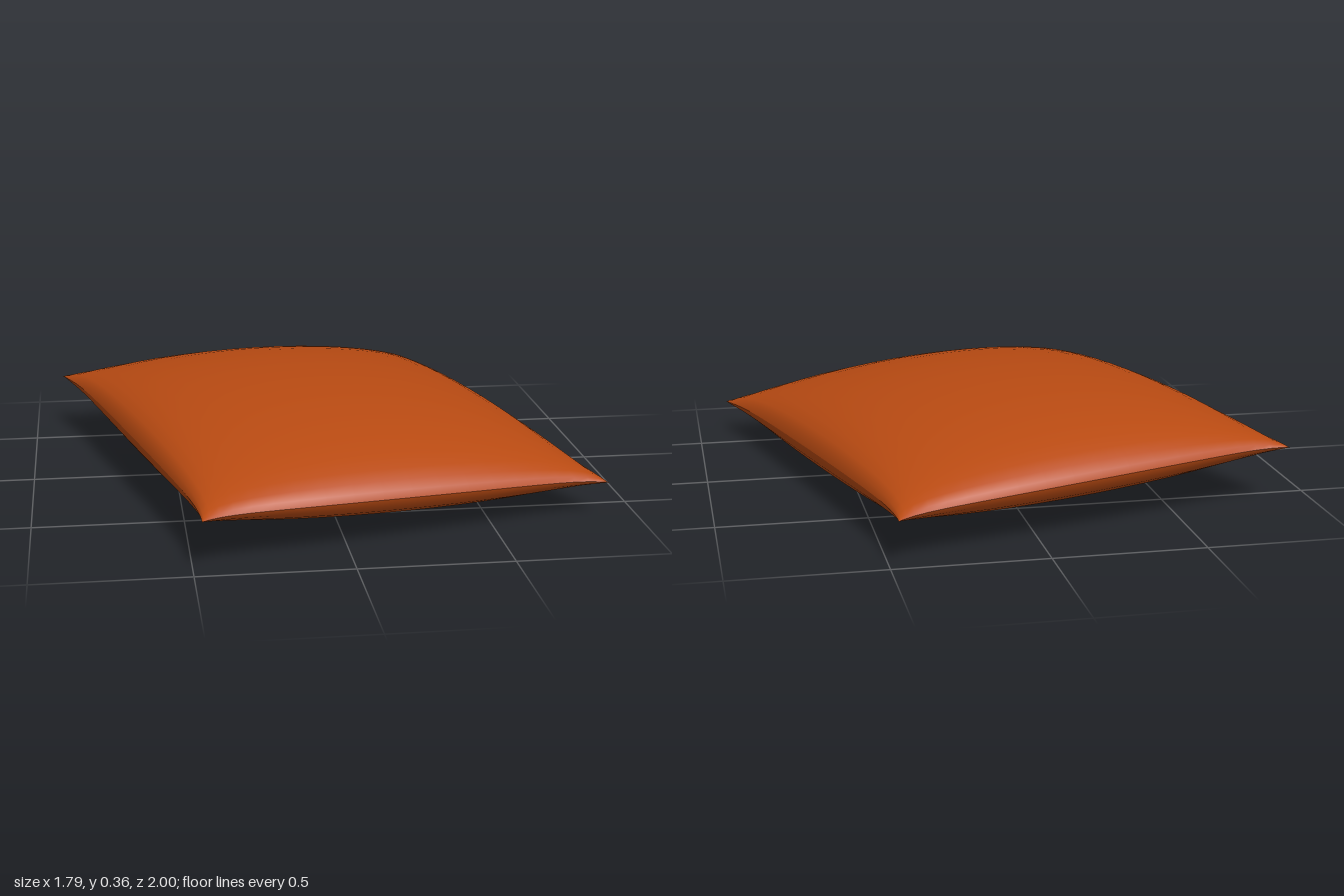
import * as THREE from 'three';

const HALF_W = 0.707, HALF_L = 0.848; // half width and length, corner to corner
const MID = 0.18, PUFF = 0.177;       // seam height at the middle, half thickness
const TURN = 0.253;                   // turn of the cushion about y

// Place a point of the unit square (s, t) on the upper (+1) or lower (-1) panel.
function cushionPoint(s, t, side) {
  // edges pull inwards between the flared corners
  const insetW = 0.03 * (1 - Math.abs(t) ** 7);
  const insetL = (0.013 + 0.028 * t0(s)) * (1 - Math.abs(s) ** 9);
  const u = s * (HALF_W - insetW);
  const v = t * (HALF_L - insetL);
  const x = u * Math.cos(TURN) + v * Math.sin(TURN);
  const z = -u * Math.sin(TURN) + v * Math.cos(TURN);
  // full middle, thin seam, pinched corners
  const puff = PUFF * Math.max(0, 1 - s * s) ** 0.42 * Math.max(0, 1 - t * t) ** 0.5;
  // the seam lies slightly tilted and droops towards the corners
  const seam = MID - 0.04 * x - 0.007 * z - 0.009 * (s * s + t * t);
  return [x, seam + side * puff, z];
}

function t0(s) { return s * s; }

function cushionPanel(side, material) {
  const geometry = new THREE.PlaneGeometry(2, 2, 22, 22);
  geometry.rotateX(-side * Math.PI / 2);
  const p = geometry.attributes.position;
  for (let i = 0; i < p.count; i++) {
    // rows crowd together near the seam
    const s = Math.sin(p.getX(i) * Math.PI / 2);
    const t = Math.sin(p.getZ(i) * Math.PI / 2);
    p.setXYZ(i, ...cushionPoint(s, t, side));
  }
  geometry.computeVertexNormals();
  return new THREE.Mesh(geometry, material);
}

export function createModel() {
  const group = new THREE.Group();
  group.name = 'cushion';
  const fabric = new THREE.MeshStandardMaterial({ color: 0xb84a12 });

  // separate panels keep the seam sharp
  const top = cushionPanel(1, fabric);
  top.name = 'upperPanel';
  const bottom = cushionPanel(-1, fabric);
  bottom.name = 'lowerPanel';
  group.add(top, bottom);
  return group;
}
